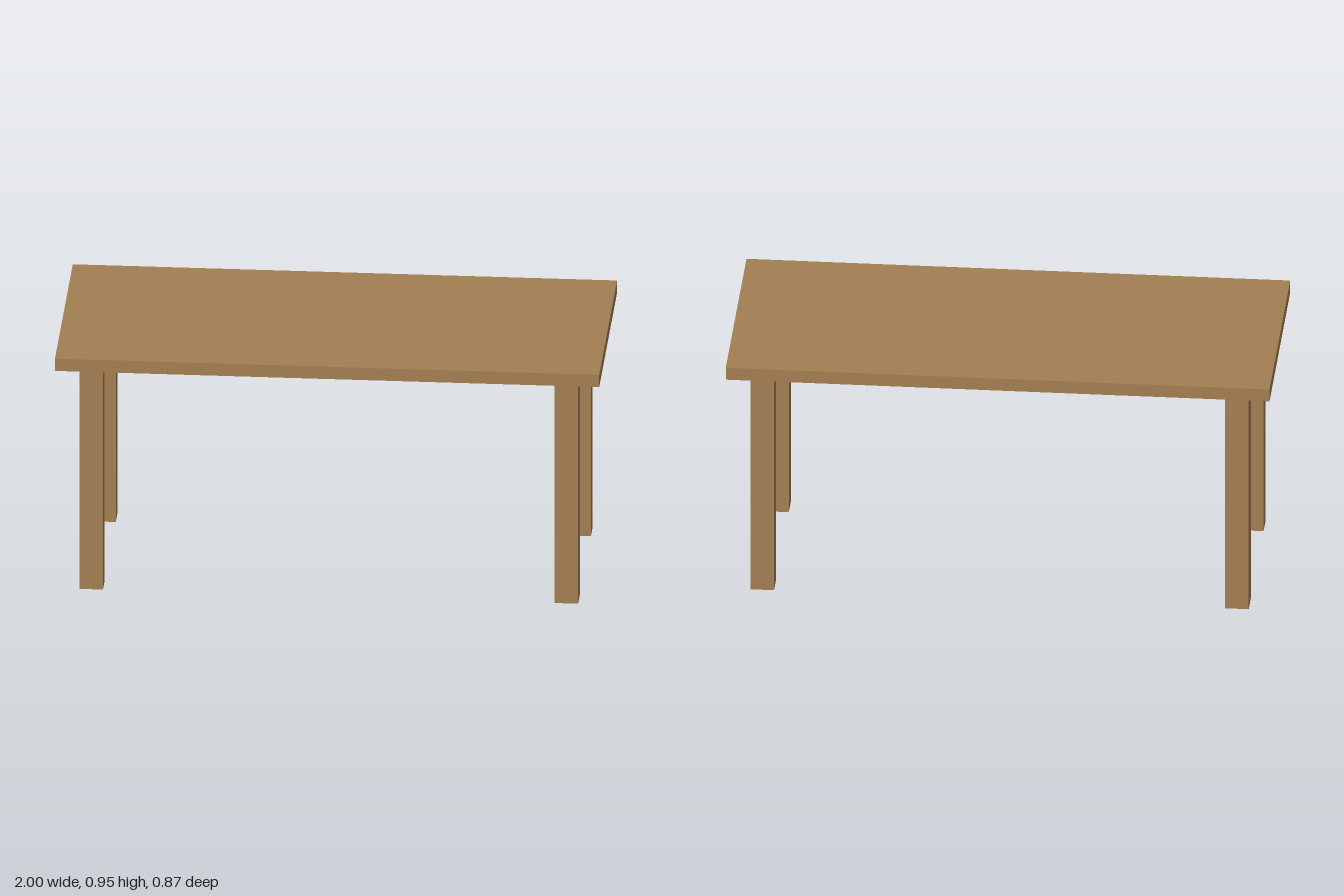
import * as THREE from 'three';

const LEG = 0.087;         // leg thickness
const LEG_HEIGHT = 0.902;
const TOP_THICKNESS = 0.049;

export function createModel() {
  const table = new THREE.Group();
  table.name = 'table';
  const wood = new THREE.MeshStandardMaterial({ color: 0xa47f53 });

  // Table top
  const top = new THREE.Mesh(new THREE.BoxGeometry(2, TOP_THICKNESS, 0.874), wood);
  top.name = 'tableTop';
  top.position.y = LEG_HEIGHT + TOP_THICKNESS / 2;
  table.add(top);

  // Four square legs, set in from the corners
  const legGeometry = new THREE.BoxGeometry(LEG, LEG_HEIGHT, LEG);
  for (const [side, x] of [['Left', 0.873], ['Right', -0.873]]) {
    for (const [end, z] of [['front', 0.313], ['back', -0.313]]) {
      const leg = new THREE.Mesh(legGeometry, wood);
      leg.name = `${end}${side}Leg`;
      leg.position.set(x, LEG_HEIGHT / 2, z);
      table.add(leg);
    }
  }
  return table;
}
